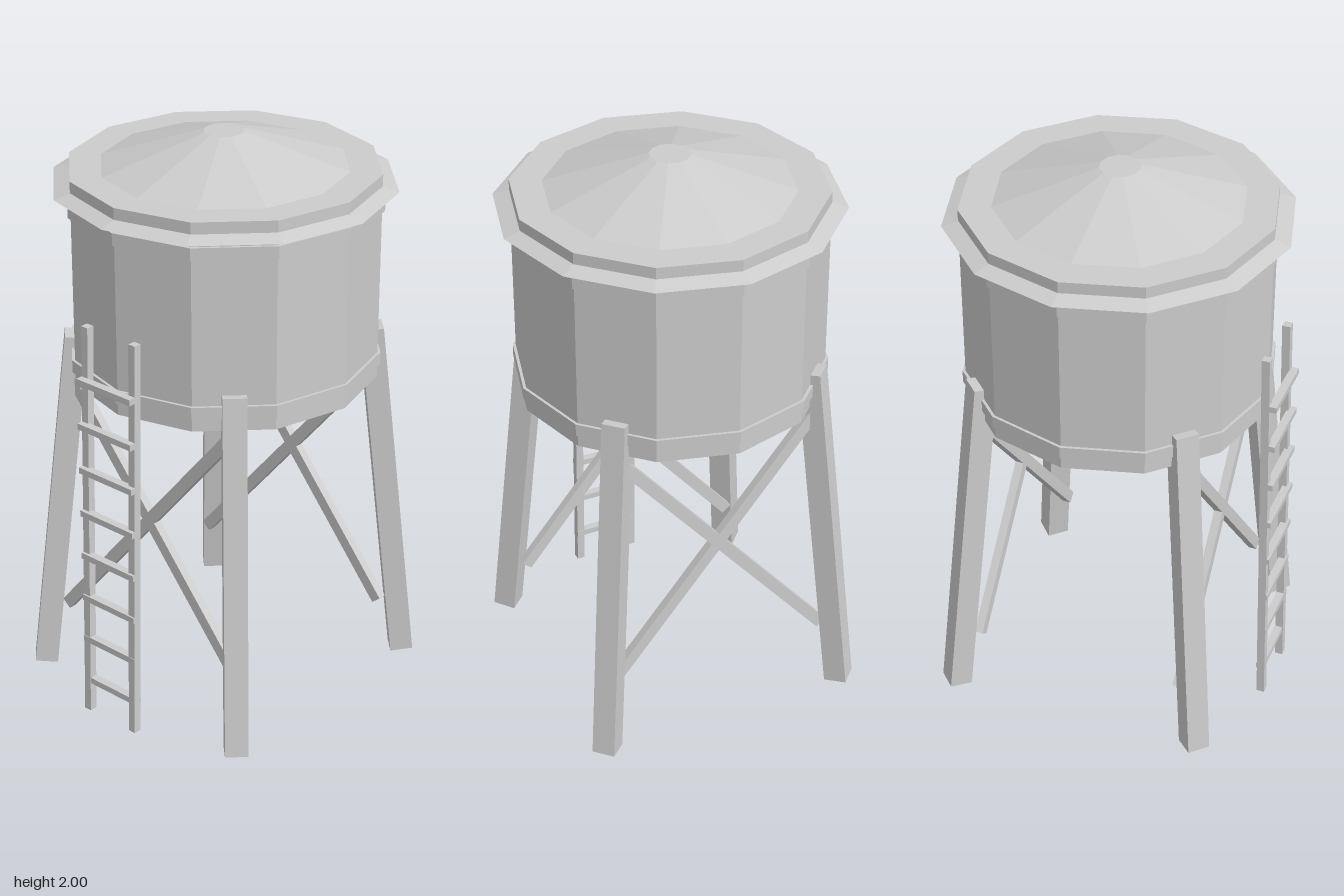
import * as THREE from 'three';

export function createModel() {
  const model = new THREE.Group();
  const grey = new THREE.MeshStandardMaterial({ color: 0xcccccc, flatShading: true });
  grey.name = 'light grey';

  const add = (parent, name, geometry, x, y, z) => {
    const mesh = new THREE.Mesh(geometry, grey);
    mesh.name = name;
    mesh.position.set(x, y, z);
    parent.add(mesh);
    return mesh;
  };

  // The tower sits slightly behind the centre to make room for the ladder
  const tower = new THREE.Group();
  tower.name = 'tower';
  tower.position.z = -0.01;
  model.add(tower);

  // Twelve-sided drum between two heights
  const drum = (name, rTop, rBottom, y0, y1) =>
    add(tower, name, new THREE.CylinderGeometry(rTop, rBottom, y1 - y0, 12), 0, (y0 + y1) / 2, 0);

  drum('tank', 0.525, 0.525, 1.16, 1.885);
  drum('lowerBand', 0.535, 0.535, 1.206, 1.25);
  drum('upperBand', 0.535, 0.535, 1.76, 1.803);
  drum('roofBrim', 0.525, 0.58, 1.828, 1.845);
  drum('roofCone', 0.068, 0.42, 1.884, 2.0);

  // Four legs leaning inwards, one on each diagonal
  for (let i = 0; i < 4; i++) {
    const corner = new THREE.Group();
    corner.name = 'legCorner';
    corner.rotation.y = Math.PI / 4 + i * Math.PI / 2;
    tower.add(corner);
    const leg = add(corner, 'leg', new THREE.BoxGeometry(0.08, 1.289, 0.08), 0, 0.645, 0.5715);
    leg.rotation.x = -0.111;
  }

  // Crossed braces between the front legs and between the back legs
  const low = new THREE.Vector2(-0.41, 0.213);
  const high = new THREE.Vector2(0.37, 1.149);
  const span = high.clone().sub(low);
  for (const z of [0.375, -0.375]) {
    for (const side of [1, -1]) {
      const brace = add(tower, z > 0 ? 'frontBrace' : 'backBrace',
        new THREE.BoxGeometry(span.length(), 0.042, 0.03),
        side * (low.x + high.x) / 2, (low.y + high.y) / 2, z);
      brace.rotation.z = side * span.angle();
    }
  }

  // Ladder: two leaning rails and eight rungs
  const ladder = new THREE.Group();
  ladder.name = 'ladder';
  model.add(ladder);
  for (const x of [-0.105, 0.105]) {
    const rail = add(ladder, 'ladderRail', new THREE.BoxGeometry(0.028, 1.455, 0.028), x, 0.7285, 0.558);
    rail.rotation.x = -0.024;
  }
  for (let i = 0; i < 8; i++) {
    add(ladder, 'ladderRung', new THREE.BoxGeometry(0.238, 0.022, 0.028), 0, 0.122 + i * 0.1635, 0.57);
  }

  return model;
}
